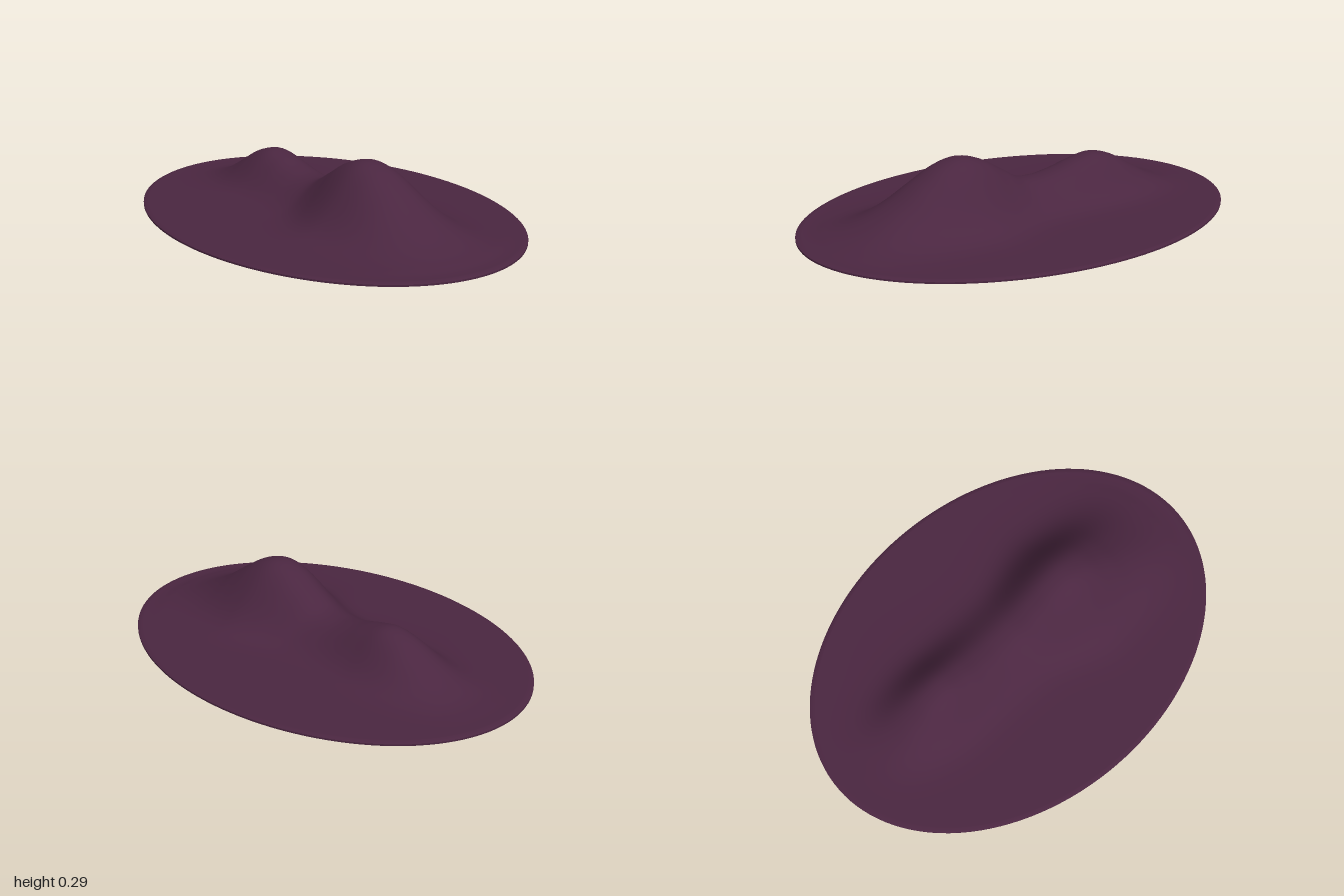
import * as THREE from 'three';
import { mergeVertices, toCreasedNormals } from 'three/addons/utils/BufferGeometryUtils.js';

const HALF_WIDTH = 0.725;
const TOP = 0.012;

// Height of the ridge above the plate, from front (+z) to back, every 0.1
const RIDGE = [0, 0.009, 0.035, 0.078, 0.134, 0.2, 0.256, 0.278, 0.253, 0.195, 0.138,
  0.126, 0.141, 0.168, 0.186, 0.162, 0.106, 0.05, 0.014, 0.002, 0];
// Half width of the ridge along its length, as [z, width]
const WIDTHS = [[-1, 0.15], [-0.4, 0.16], [0, 0.17], [0.35, 0.214], [1, 0.23]];

function ridgeHeight(z) {
  const t = THREE.MathUtils.clamp((1 - z) * 10, 0, 20);
  const i = Math.min(Math.floor(t), 19), f = t - i;
  const at = k => RIDGE[THREE.MathUtils.clamp(k, 0, 20)];
  const [a, b, c, d] = [at(i - 1), at(i), at(i + 1), at(i + 2)];
  return b + 0.5 * f * (c - a + f * (2 * a - 5 * b + 4 * c - d + f * (3 * (b - c) + d - a)));
}

function ridgeWidth(z) {
  for (let i = 1; i < WIDTHS.length; i++) {
    const [z0, w0] = WIDTHS[i - 1], [z1, w1] = WIDTHS[i];
    if (z <= z1) return w0 + (w1 - w0) * THREE.MathUtils.smoothstep(z, z0, z1);
  }
  return WIDTHS[WIDTHS.length - 1][1];
}

// Steep ridge with a faint wide skirt
function mound(x, z) {
  const ax = Math.abs(x);
  const core = Math.exp(-Math.pow(ax / ridgeWidth(z), 2.4));
  const skirt = Math.exp(-Math.pow(ax / 0.27, 2));
  return Math.max(0, ridgeHeight(z)) * (0.94 * core + 0.06 * skirt);
}

export function createModel() {
  const group = new THREE.Group();
  const material = new THREE.MeshStandardMaterial({ color: 0x4a2640 });

  // Domed upper surface: a fine disc lifted by the mound rule
  const rings = 72, inner = 0.975;
  const disc = Array.from({ length: rings + 1 },
    (_, i) => new THREE.Vector2(inner * (1 - i / rings), TOP));
  let top = new THREE.LatheGeometry(disc, 128);
  top.deleteAttribute('uv');
  top.deleteAttribute('normal');
  top.scale(HALF_WIDTH, 1, 1);
  const p = top.attributes.position;
  for (let i = 0; i < p.count; i++) {
    const x = p.getX(i), z = p.getZ(i);
    const r = Math.hypot(x / HALF_WIDTH, z);
    const fade = 1 - THREE.MathUtils.smoothstep(r, 0.88, inner);
    p.setY(i, TOP + mound(x, z) * fade);
  }
  top = mergeVertices(top, 1e-5);
  top.computeVertexNormals();
  const surface = new THREE.Mesh(top, material);
  surface.name = 'moundSurface';
  group.add(surface);

  // Thin oval plate with a bevelled rim and flat underside
  const profile = [[0, 0], [1, 0], [1, 0.007], [0.993, 0.0105], [inner, TOP]]
    .map(([r, y]) => new THREE.Vector2(r, y));
  const plate = new THREE.LatheGeometry(profile, 128);
  plate.scale(HALF_WIDTH, 1, 1);
  const base = new THREE.Mesh(toCreasedNormals(plate, 0.6), material);
  base.name = 'basePlate';
  group.add(base);

  return group;
}
